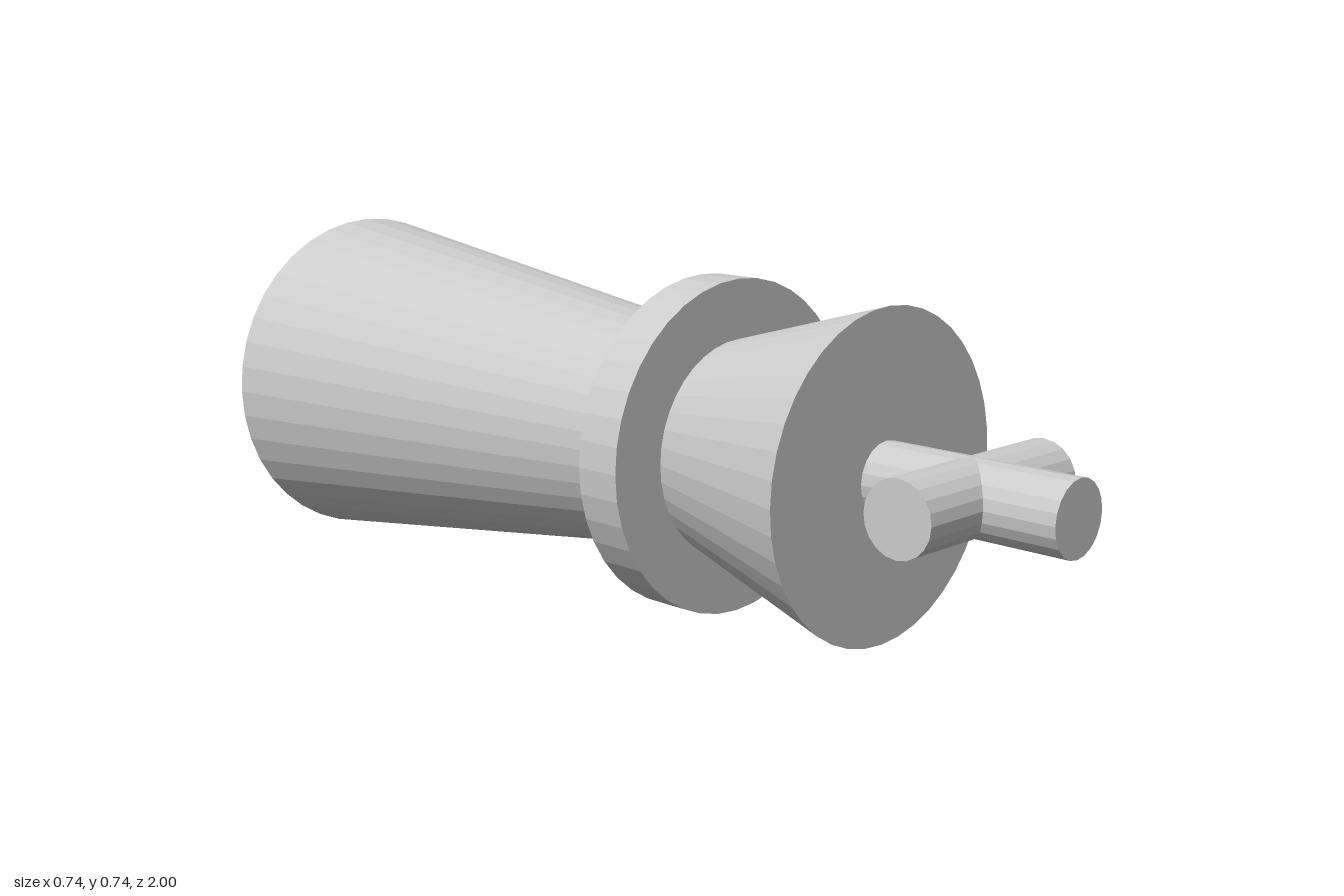
import * as THREE from 'three';

const AXIS_Y = 0.371;

export function createModel() {
  const model = new THREE.Group();
  const material = new THREE.MeshStandardMaterial({ color: 0xcccccc, flatShading: true });

  // Round section lying along z, from the back end to the front end
  function section(name, zBack, zFront, rBack, rFront, sides) {
    const geometry = new THREE.CylinderGeometry(rFront, rBack, zFront - zBack, sides);
    geometry.rotateX(Math.PI / 2);
    const mesh = new THREE.Mesh(geometry, material);
    mesh.name = name;
    mesh.position.set(0, AXIS_Y, (zBack + zFront) / 2);
    model.add(mesh);
  }

  section('body', -1, 0.11, 0.371, 0.22, 40);
  section('collar', 0.11, 0.21, 0.34, 0.34, 40);
  section('head', 0.21, 0.583, 0.22, 0.325, 40);
  section('crossPost', 0.583, 1, 0.073, 0.073, 20);

  // Crossbar running sideways through the post
  const bar = new THREE.Mesh(new THREE.CylinderGeometry(0.073, 0.073, 0.442, 20), material);
  bar.name = 'crossBar';
  bar.rotation.z = Math.PI / 2;
  bar.position.set(0, AXIS_Y, 0.78);
  model.add(bar);

  return model;
}
